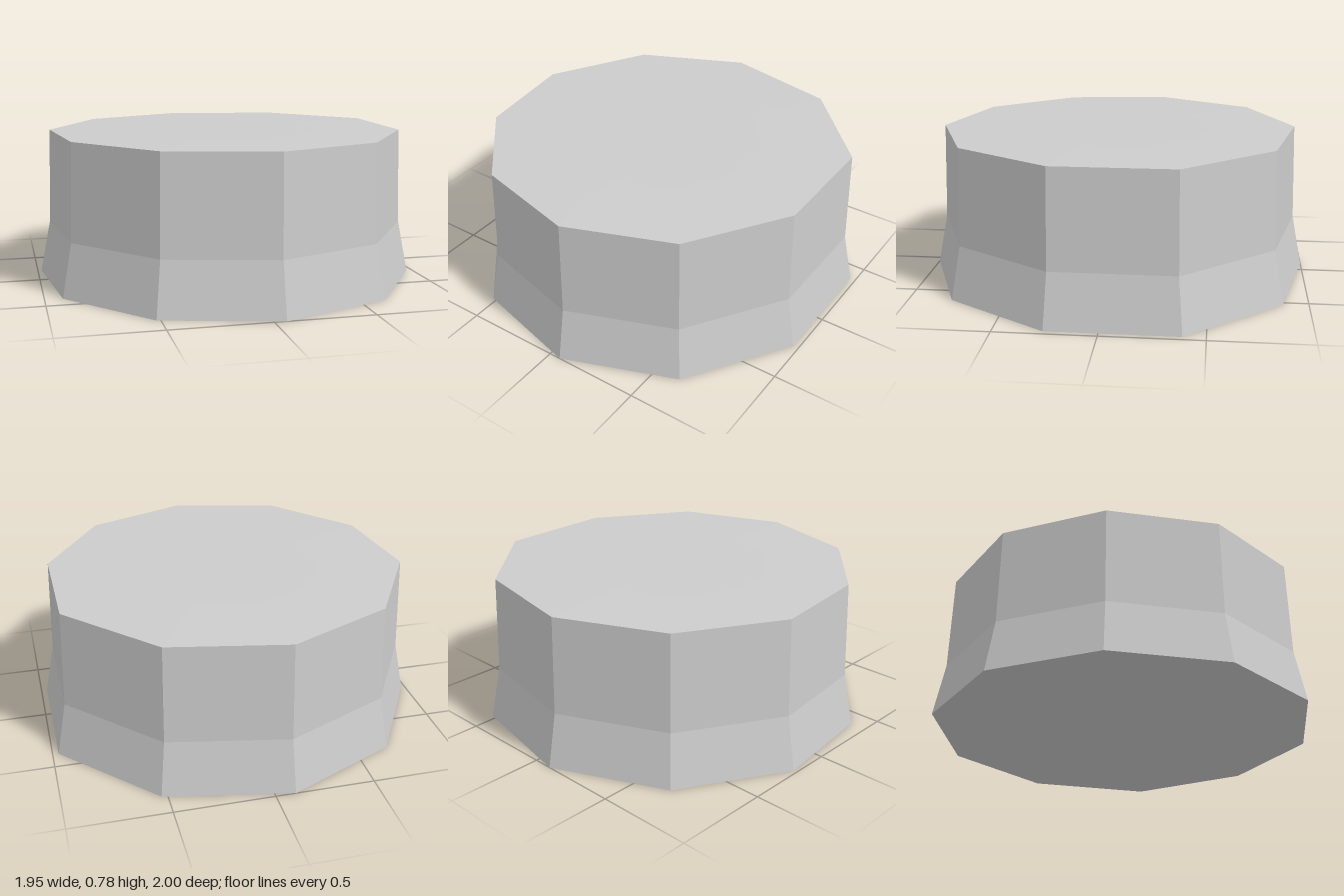
import * as THREE from 'three';

// Uneven ten-sided footprint, as [x, z] corners
const FOOTPRINT = [
  [-0.10, -1.0], [0.53, -0.87], [0.97, -0.39], [0.97, 0.26], [0.63, 0.78],
  [0.06, 1.0], [-0.52, 0.85], [-0.91, 0.39], [-0.98, -0.20], [-0.67, -0.74],
];

// Skins consecutive layers, each [scale, height]; scale 0 closes to a point
function loft(layers) {
  const positions = [];
  const point = (i, [s, y]) => {
    const [x, z] = FOOTPRINT[i % FOOTPRINT.length];
    return [x * s, y, z * s];
  };
  for (let k = 0; k < layers.length - 1; k++) {
    const low = layers[k], high = layers[k + 1];
    for (let i = 0; i < FOOTPRINT.length; i++) {
      const a = point(i, low), b = point(i + 1, low);
      const c = point(i + 1, high), d = point(i, high);
      if (high[0] > 0) positions.push(...a, ...d, ...c);
      else positions.push(...a, ...d, ...b);
      if (low[0] > 0 && high[0] > 0) positions.push(...a, ...c, ...b);
    }
  }
  const geometry = new THREE.BufferGeometry();
  geometry.setAttribute('position', new THREE.Float32BufferAttribute(positions, 3));
  geometry.computeVertexNormals();
  return geometry;
}

export function createModel() {
  const group = new THREE.Group();
  const stone = new THREE.MeshStandardMaterial({ color: 0xcccccc });
  stone.name = 'lightGrey';
  stone.flatShading = true;

  const add = (name, layers) => {
    const mesh = new THREE.Mesh(loft(layers), stone);
    mesh.name = name;
    group.add(mesh);
  };

  // Flat underside
  add('underside', [[0, 0], [1, 0]]);
  // Flared foot, then a nearly upright wall
  add('flaredFoot', [[1, 0], [0.946, 0.275]]);
  add('wall', [[0.946, 0.275], [0.932, 0.775]]);
  // Very slightly raised top
  add('top', [[0.932, 0.775], [0.5, 0.78], [0, 0.78]]);
  return group;
}
